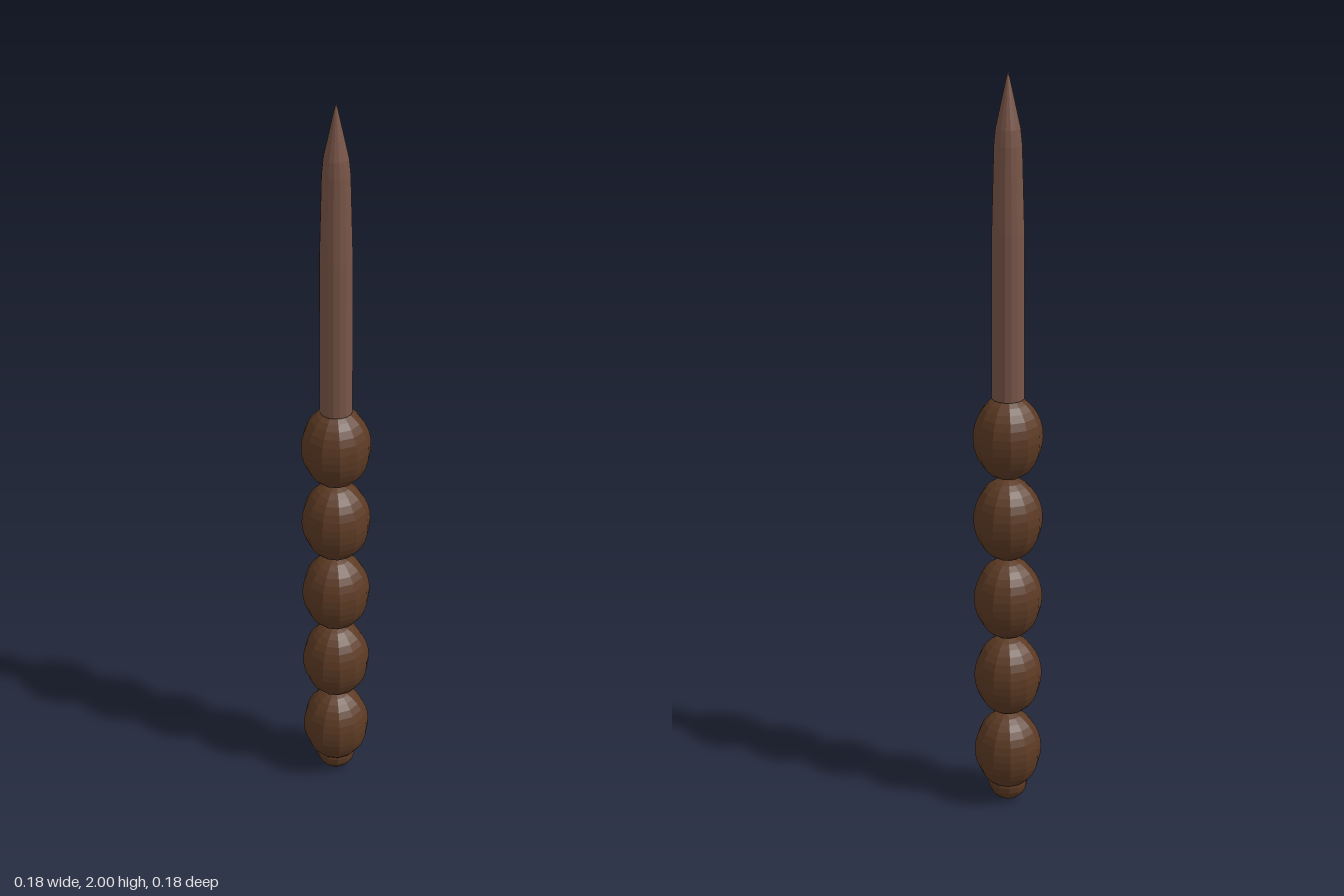
import * as THREE from 'three';

const darkWood = new THREE.MeshStandardMaterial({ color: 0x5c3a24 });
const paleWood = new THREE.MeshStandardMaterial({ color: 0x795548 });
darkWood.name = 'darkWood';
paleWood.name = 'paleWood';

function addPart(group, name, geometry, material, y) {
  // unshared vertices give each face its own flat normal
  const flat = geometry.toNonIndexed();
  flat.computeVertexNormals();
  const mesh = new THREE.Mesh(flat, material);
  mesh.name = name;
  mesh.position.y = y;
  group.add(mesh);
}

export function createModel() {
  const group = new THREE.Group();
  group.name = 'spike';

  // round pommel under the grip
  addPart(group, 'pommel', new THREE.SphereGeometry(0.054, 12, 10), darkWood, 0.054);

  // five egg-shaped grip beads, stacked
  for (let i = 0; i < 5; i++) {
    const bead = new THREE.SphereGeometry(0.09, 12, 16).scale(1, 1.265, 1);
    addPart(group, 'gripBead' + (i + 1), bead, darkWood, 0.153 + i * 0.2275);
  }

  // straight shaft narrowing to a sharp point
  const profile = [
    [0, 1.17], [0.042, 1.17], [0.041, 1.6], [0.035, 1.82], [0.031, 1.86], [0, 2],
  ].map(([r, y]) => new THREE.Vector2(r, y));
  addPart(group, 'shaft', new THREE.LatheGeometry(profile, 16), paleWood, 0);

  return group;
}
